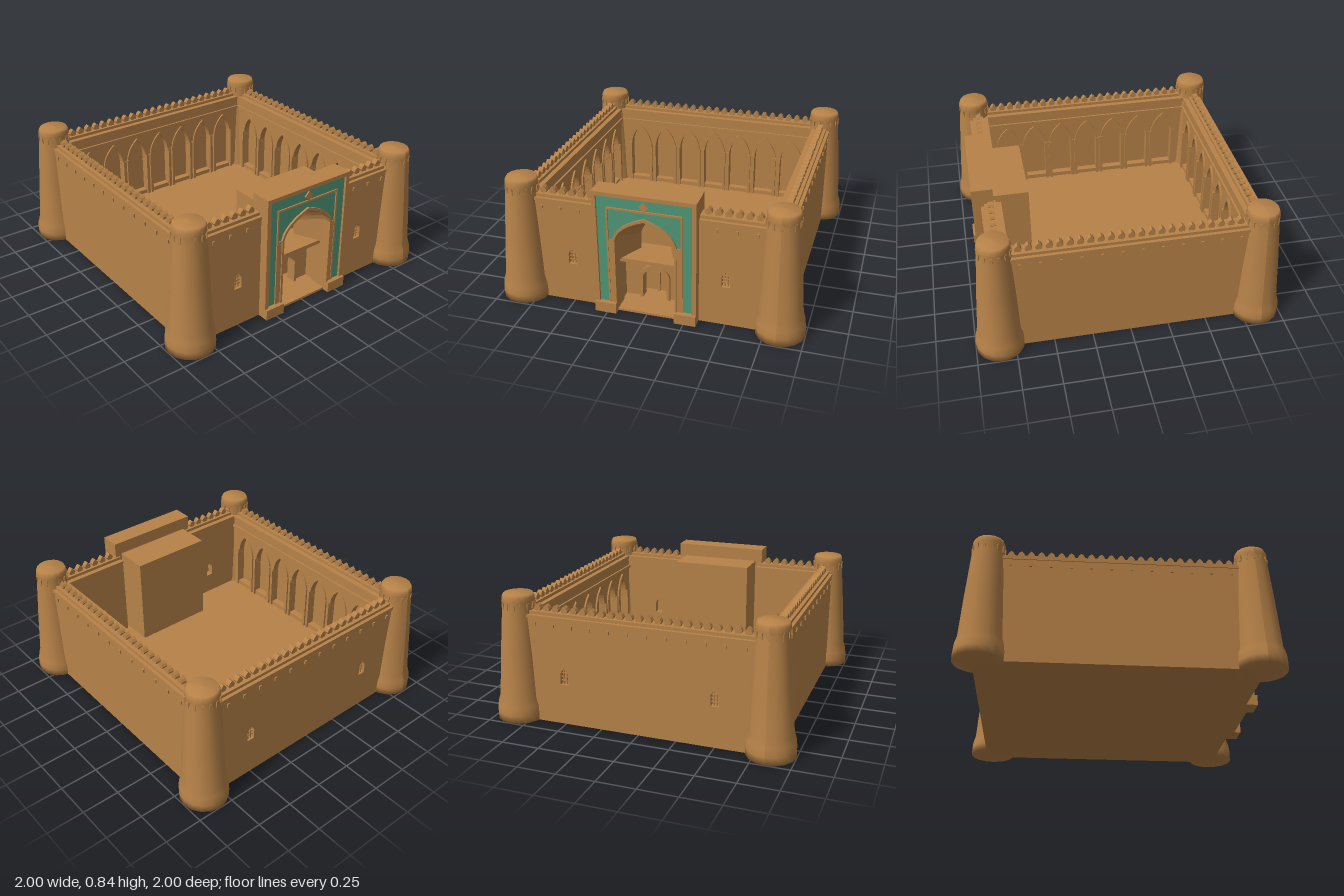
import * as THREE from 'three';

const clay = new THREE.MeshStandardMaterial({ color: 0xb78248 });
clay.name = 'sunbaked clay';
const tile = new THREE.MeshStandardMaterial({ color: 0x4e9677 });
tile.name = 'teal tile';

function add(parent, name, geometry, material = clay) {
  const mesh = new THREE.Mesh(geometry, material);
  mesh.name = name;
  parent.add(mesh);
  return mesh;
}

// box given by its limits on each axis
function block(parent, name, x0, x1, y0, y1, z0, z1) {
  const g = new THREE.BoxGeometry(x1 - x0, y1 - y0, z1 - z0);
  g.translate((x0 + x1) / 2, (y0 + y1) / 2, (z0 + z1) / 2);
  return add(parent, name, g);
}

const v2 = (x, y) => new THREE.Vector2(x, y);
const rect = (x0, x1, y0, y1) => [v2(x0, y0), v2(x1, y0), v2(x1, y1), v2(x0, y1)];

// pointed arch outline, from left foot over the apex to right foot
function arch(cx, w, foot, spring, apex) {
  const rise = apex - spring;
  const left = new THREE.QuadraticBezierCurve(
    v2(-w, spring), v2(-w * 0.9, spring + rise * 0.62), v2(0, apex)).getPoints(6);
  const half = [v2(-w, foot), ...left];
  const right = half.slice(0, -1).reverse().map((p) => v2(-p.x, p.y));
  return [...half, ...right].map((p) => v2(p.x + cx, p.y));
}

// upright slab with openings, between two depths
function slab(parent, name, outline, holes, z0, z1, material = clay) {
  const shape = new THREE.Shape(outline);
  shape.holes = holes.map((h) => new THREE.Path(h));
  const g = new THREE.ExtrudeGeometry(shape, { depth: z1 - z0, bevelEnabled: false });
  g.translate(0, 0, z0);
  return add(parent, name, g, material);
}

// rectangular slab whose archway is open at the foot
function gateSlab(parent, name, w, y0, top, archLine, z0, z1, material) {
  const outline = [v2(-w, y0), v2(-w, top), v2(w, top), v2(w, y0), ...[...archLine].reverse()];
  return slab(parent, name, outline, [], z0, z1, material);
}

// Wall section facing +z, with recessed openings on both faces
function wallSection(parent, x0, x1, windows, niches) {
  const openings = windows.map((x) => arch(x, 0.027, 0.27, 0.335, 0.375));
  const inner = niches.length
    ? niches.map((x) => arch(x, 0.075, 0.15, 0.44, 0.58)) : openings;
  slab(parent, 'outerFace', rect(x0, x1, 0, 0.7), openings, 0.835, 0.876);
  block(parent, 'wallCore', x0, x1, 0, 0.7, 0.805, 0.835);
  slab(parent, 'innerFace', rect(x0, x1, 0, 0.7), inner, 0.757, 0.805);
  block(parent, 'cornice', x0, x1, 0.695, 0.715, 0.75, 0.882);
  block(parent, 'parapet', x0, x1, 0.71, 0.735, 0.785, 0.86);

  // window grilles
  for (const x of windows) {
    for (const dx of [-0.01, 0.01]) block(parent, 'grilleBar', x + dx - 0.003, x + dx + 0.003, 0.27, 0.36, 0.852, 0.862);
    for (const y of [0.295, 0.32, 0.345]) block(parent, 'grilleBar', x - 0.027, x + 0.027, y - 0.003, y + 0.003, 0.852, 0.86);
  }

  // arcade piers and string course
  if (niches.length) {
    block(parent, 'stringCourse', x0, x1, 0.62, 0.64, 0.744, 0.76);
    for (const x of niches) {
      slab(parent, 'archMoulding', arch(x, 0.09, 0.44, 0.44, 0.6), [arch(x, 0.074, 0.442, 0.445, 0.58)], 0.745, 0.759);
      for (const s of [-1, 1]) block(parent, 'pier', x + s * 0.084 - 0.01, x + s * 0.084 + 0.01, 0.11, 0.445, 0.742, 0.76);
    }
  }

  // merlons on a shared spacing, beam ends under the cornice
  const step = 0.0625;
  for (let i = Math.ceil((x0 + 0.04) / step); i * step <= x1 - 0.04; i++) {
    const x = i * step;
    const outline = [v2(x - 0.015, 0.73), v2(x + 0.015, 0.73), v2(x + 0.023, 0.752),
      v2(x + 0.014, 0.768), v2(x, 0.78), v2(x - 0.014, 0.768), v2(x - 0.023, 0.752)];
    slab(parent, 'merlon', outline, [], 0.803, 0.838);
    if (i % 2) block(parent, 'beamEnd', x - 0.008, x + 0.008, 0.645, 0.67, 0.86, 0.885);
  }
}

// Tapering corner tower leaning slightly inwards
function tower() {
  const group = new THREE.Group();
  group.name = 'cornerTower';
  const profile = [[0, 0], [0.155, 0], [0.157, 0.05], [0.153, 0.1], [0.139, 0.15], [0.123, 0.45],
    [0.104, 0.74], [0.1, 0.77], [0.104, 0.785], [0.103, 0.815], [0.094, 0.835], [0, 0.843]];
  const g = new THREE.LatheGeometry(profile.map(([r, y]) => v2(r, y)), 16);
  const p = g.attributes.position;
  for (let i = 0; i < p.count; i++) {
    const shift = 0.016 * (1 - p.getY(i) / 0.84);
    p.setX(i, p.getX(i) + shift);
    p.setZ(i, p.getZ(i) + shift);
  }
  g.computeVertexNormals();
  add(group, 'towerShaft', g);
  for (let i = 0; i < 14; i++) {
    const a = (i / 14) * Math.PI * 2;
    const rib = add(group, 'towerBracket', new THREE.BoxGeometry(0.014, 0.045, 0.02));
    rib.position.set(Math.sin(a) * 0.097, 0.762, Math.cos(a) * 0.097);
    rib.rotation.y = a;
  }
  group.position.set(0.828, 0, 0.828);
  return group;
}

// Half vault between a wide front arch and a narrow back arch
function vault(front, zf, back, zb) {
  const pos = [], index = [];
  front.forEach((p, i) => {
    pos.push(p.x, p.y, zf, back[i].x, back[i].y, zb);
    if (i) index.push(2 * i - 2, 2 * i - 1, 2 * i, 2 * i, 2 * i - 1, 2 * i + 1);
  });
  const g = new THREE.BufferGeometry();
  g.setAttribute('position', new THREE.Float32BufferAttribute(pos, 3));
  g.setIndex(index);
  const flat = g.toNonIndexed();
  flat.computeVertexNormals();
  return flat;
}

function portal() {
  const group = new THREE.Group();
  group.name = 'gatePortal';
  const opening = arch(0, 0.19, 0, 0.52, 0.67);
  gateSlab(group, 'portalBody', 0.33, 0, 0.83, opening, 0.785, 0.9);
  gateSlab(group, 'tilePanel', 0.302, 0.07, 0.815, arch(0, 0.195, 0.07, 0.52, 0.675), 0.899, 0.906, tile);

  // raised frames
  const frame = (name, w, top, wi, ti, z1) =>
    gateSlab(group, name, w, 0, top, [v2(-wi, 0), v2(-wi, ti), v2(wi, ti), v2(wi, 0)], 0.895, z1);
  frame('outerFrame', 0.33, 0.84, 0.302, 0.814, 0.922);
  frame('innerFrame', 0.243, 0.74, 0.231, 0.728, 0.915);
  block(group, 'portalRoof', -0.33, 0.33, 0.8, 0.84, 0.785, 0.9);
  const outer = arch(0, 0.205, 0, 0.525, 0.69);
  slab(group, 'archMoulding', [...outer, ...[...opening].reverse()], [], 0.895, 0.92);
  for (const s of [-1, 1]) {
    const a = s * 0.19, b = s * 0.33, c = s * 0.238;
    block(group, 'jambFoot', Math.min(a, b), Math.max(a, b), 0, 0.07, 0.895, 0.94);
    block(group, 'jamb', Math.min(a, c), Math.max(a, c), 0.06, 0.52, 0.895, 0.912);
  }
  slab(group, 'diamondBoss', [v2(0, 0.735), v2(0.03, 0.768), v2(0, 0.8), v2(-0.03, 0.768)], [], 0.9, 0.916);

  // gatehouse block and its niche
  gateSlab(group, 'gatehouse', 0.28, 0, 0.75, arch(0, 0.2, 0, 0.53, 0.69), 0.61, 0.79);
  block(group, 'gatehouseBack', -0.28, 0.28, 0, 0.75, 0.556, 0.62);
  block(group, 'nicheFloor', -0.2, 0.2, 0, 0.015, 0.61, 0.895);
  add(group, 'nicheVault', vault(arch(0, 0.19, 0.35, 0.52, 0.67), 0.86, arch(0, 0.1, 0.35, 0.46, 0.58), 0.68));
  block(group, 'balcony', -0.195, 0.195, 0.33, 0.355, 0.62, 0.84);
  gateSlab(group, 'doorWall', 0.2, 0, 0.335, arch(0, 0.08, 0, 0.17, 0.24), 0.66, 0.71);
  slab(group, 'doorMoulding', [...arch(0, 0.1, 0, 0.18, 0.27), ...arch(0, 0.08, 0, 0.17, 0.24).reverse()], [], 0.7, 0.73);
  block(group, 'doorSeam', -0.006, 0.006, 0.01, 0.22, 0.61, 0.635);
  return group;
}

export function createModel() {
  const model = new THREE.Group();
  model.name = 'walledFort';

  // courtyard floor, notched around the gate
  block(model, 'courtyardFloor', -0.83, 0.83, 0, 0.12, -0.83, 0.58);
  block(model, 'leftFloor', 0.27, 0.83, 0, 0.12, 0.57, 0.79);
  block(model, 'rightFloor', -0.83, -0.27, 0, 0.12, 0.57, 0.79);

  // four walls, each with its distance from the centre adjusted
  const bays = [-0.6, -0.4, -0.2, 0, 0.2, 0.4, 0.6];
  const sides = [['frontWall', -0.013], ['leftWall', 0], ['backWall', 0.007], ['rightWall', 0]];
  sides.forEach(([name, offset], k) => {
    const side = new THREE.Group();
    const wall = new THREE.Group();
    side.name = name + 'AndTower';
    wall.name = name;
    if (k === 0) {
      wallSection(wall, -0.8, -0.3, [-0.5], []);
      wallSection(wall, 0.3, 0.8, [0.5], []);
    } else {
      wallSection(wall, -0.8, 0.8, k === 2 ? [-0.5, 0.5] : [], bays);
    }
    wall.position.z = offset;
    side.add(wall, tower());
    side.rotation.y = (k * Math.PI) / 2;
    model.add(side);
  });

  model.add(portal());
  return model;
}
